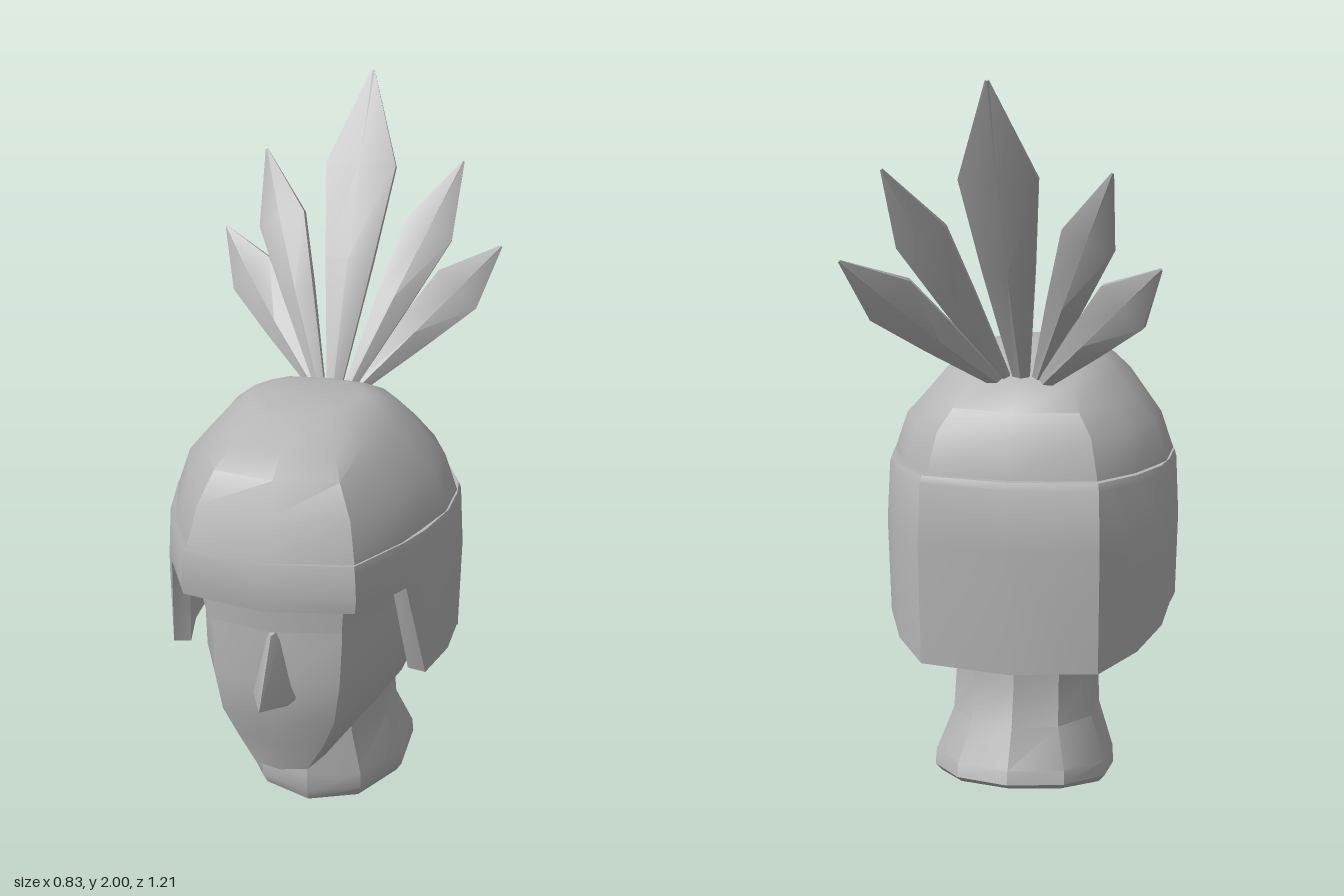
import * as THREE from 'three';
import { toCreasedNormals } from 'three/addons/utils/BufferGeometryUtils.js';
import { ConvexGeometry } from 'three/addons/geometries/ConvexGeometry.js';

const grey = new THREE.MeshStandardMaterial({ color: 0xb6b6b6 });
grey.name = 'stone grey';

const V = (x, y, z) => new THREE.Vector3(x, y, z);

// Half outlines, front to back, as [x, z] in -1..1
const SKULL = [[0, 1], [0.59, 0.9], [0.82, 0.52], [1, 0], [1, -0.35], [0.83, -0.68], [0.6, -0.92], [0, -1]];
const ROUND = [0, 1, 2, 3, 4, 5].map(i => [Math.sin(i * Math.PI / 5), Math.cos(i * Math.PI / 5)]);

// Completes a half list (first and last entries lie on the centre line)
function mirrored(half, flip) {
  return [...half, ...half.slice(1, -1).reverse().map(flip)];
}

// Cross-section with its own front/back heights, front/back depth and half width
function ring(plan, [yFront, yBack, zFront, zBack, halfX]) {
  return mirrored(plan, p => [-p[0], p[1]]).map(([x, z]) => {
    const t = (1 - z) / 2;
    return V(x * halfX, yFront + (yBack - yFront) * t, zFront + (zBack - zFront) * t);
  });
}

// Skins a run of rings; closed joins the last to the first, otherwise the ends are capped
function loft(rings, closed = false) {
  const n = rings[0].length, pos = [], idx = [];
  rings.forEach(r => r.forEach(p => pos.push(p.x, p.y, p.z)));
  const count = closed ? rings.length : rings.length - 1;
  for (let i = 0; i < count; i++) {
    for (let j = 0; j < n; j++) {
      const k = (j + 1) % n, m = (i + 1) % rings.length;
      const a = i * n + j, b = i * n + k, c = m * n + k, d = m * n + j;
      idx.push(a, b, c, a, c, d);
    }
  }
  if (!closed) {
    [0, rings.length - 1].forEach(i => {
      const mid = rings[i].reduce((s, p) => s.add(p), V(0, 0, 0)).divideScalar(n);
      const c = pos.length / 3;
      pos.push(mid.x, mid.y, mid.z);
      for (let j = 0; j < n; j++) {
        const a = i * n + j, b = i * n + (j + 1) % n;
        if (i === 0) idx.push(c, b, a);
        else idx.push(c, a, b);
      }
    });
  }
  const g = new THREE.BufferGeometry();
  g.setAttribute('position', new THREE.Float32BufferAttribute(pos, 3));
  g.setIndex(idx);
  return g;
}

function part(name, geometry, crease = 0.6) {
  const mesh = new THREE.Mesh(toCreasedNormals(geometry, crease), grey);
  mesh.name = name;
  return mesh;
}

// Leaf-shaped feather with a central ridge and a thin rim
function feather(base, tip, width) {
  const axis = tip.clone().sub(base);
  const side = axis.clone().cross(V(0, 0, 1)).normalize();
  const front = side.clone().cross(axis).normalize();
  const stations = [[0, 0.2, 0.014], [0.4, 0.68, 0.028], [0.7, 1, 0.022], [1, 0.05, 0.003]];
  return loft(stations.map(([t, w, d]) => {
    const c = base.clone().addScaledVector(axis, t);
    const e = d * 0.35;
    return [[0, d], [w, e], [w, -e], [0, -d], [-w, -e], [-w, e]].map(([s, f]) =>
      c.clone().addScaledVector(side, s * width).addScaledVector(front, f));
  }));
}

// Helmet shell below the dome: visor, cheek guards and neck guard
function helmetShell() {
  // x, z and height of the lower edge
  const half = [
    [0, 0.565, 0.825], [0.235, 0.515, 0.825], [0.33, 0.33, 0.825], [0.367, 0.23, 0.53],
    [0.4, 0.08, 0.535], [0.4, -0.05, 0.545], [0.388, -0.13, 0.505], [0.335, -0.25, 0.465],
    [0.245, -0.365, 0.435], [0, -0.4, 0.43]];
  const columns = mirrored(half, ([x, z, y]) => [-x, z, y]);
  return loft(columns.map(([x, z, low]) => {
    const at = (s, y) => V(x * s, y, 0.2 + (z - 0.2) * s);
    const mid = Math.max(0.77, low + 0.04);
    return [at(0.88, 0.95), at(0.965, 0.955), at(0.98, 0.935), at(1, mid), at(0.985, low), at(0.85, low + 0.005)];
  }), true);
}

export function createModel() {
  const model = new THREE.Group();
  model.name = 'helmetedHead';

  // Neck, cut on a slant at the bottom
  model.add(part('neck', loft([
    [0.005, 0.1, 0.12, -0.375, 0.235],
    [0.035, 0.115, 0.135, -0.392, 0.252],
    [0.09, 0.15, 0.135, -0.38, 0.25],
    [0.23, 0.25, 0.13, -0.32, 0.205],
    [0.36, 0.37, 0.13, -0.29, 0.2],
    [0.5, 0.5, 0.13, -0.29, 0.21],
  ].map(r => ring(ROUND, r)))));

  // Head, from under the chin to inside the helmet
  model.add(part('head', loft([
    [0.242, 0.25, 0.34, 0.1, 0.07],
    [0.275, 0.3, 0.415, 0, 0.125],
    [0.36, 0.38, 0.435, -0.22, 0.205],
    [0.45, 0.45, 0.465, -0.3, 0.265],
    [0.57, 0.57, 0.48, -0.31, 0.295],
    [0.7, 0.7, 0.472, -0.31, 0.302],
    [0.725, 0.725, 0.472, -0.31, 0.302],
    [0.735, 0.735, 0.495, -0.31, 0.31],
    [0.93, 0.93, 0.5, -0.31, 0.33],
  ].map(r => ring(SKULL, r)))));

  // Nose
  model.add(part('nose', new ConvexGeometry([
    V(-0.022, 0.73, 0.44), V(0.022, 0.73, 0.44), V(0, 0.72, 0.49),
    V(-0.068, 0.53, 0.44), V(0.068, 0.53, 0.44), V(-0.045, 0.52, 0.49), V(0.045, 0.52, 0.49),
    V(0, 0.555, 0.605), V(0, 0.5, 0.48),
  ]), 0.4));

  // Helmet
  model.add(part('helmetShell', helmetShell()));
  model.add(part('helmetDome', loft([
    [0.93, 0.93, 0.54, -0.35, 0.382],
    [0.96, 0.96, 0.535, -0.345, 0.38],
    [1.06, 1.06, 0.5, -0.318, 0.347],
    [1.15, 1.12, 0.462, -0.285, 0.285],
    [1.195, 1.19, 0.385, -0.2, 0.235],
    [1.24, 1.235, 0.25, -0.1, 0.18],
    [1.252, 1.25, 0.2, -0.05, 0.14],
  ].map(r => ring(SKULL, r)))));

  // Fan of feathers
  const crest = new THREE.Group();
  crest.name = 'crest';
  crest.add(part('centreFeather', feather(V(0, 1.18, -0.165), V(0, 2, -0.6), 0.102)));
  for (const s of [-1, 1]) {
    const which = s > 0 ? 'left' : 'right';
    crest.add(part(which + 'InnerFeather', feather(V(0.04 * s, 1.18, -0.165), V(0.29 * s, 1.775, -0.5), 0.072)));
    crest.add(part(which + 'OuterFeather', feather(V(0.055 * s, 1.175, -0.175), V(0.41 * s, 1.54, -0.48), 0.076)));
  }
  model.add(crest);
  return model;
}
